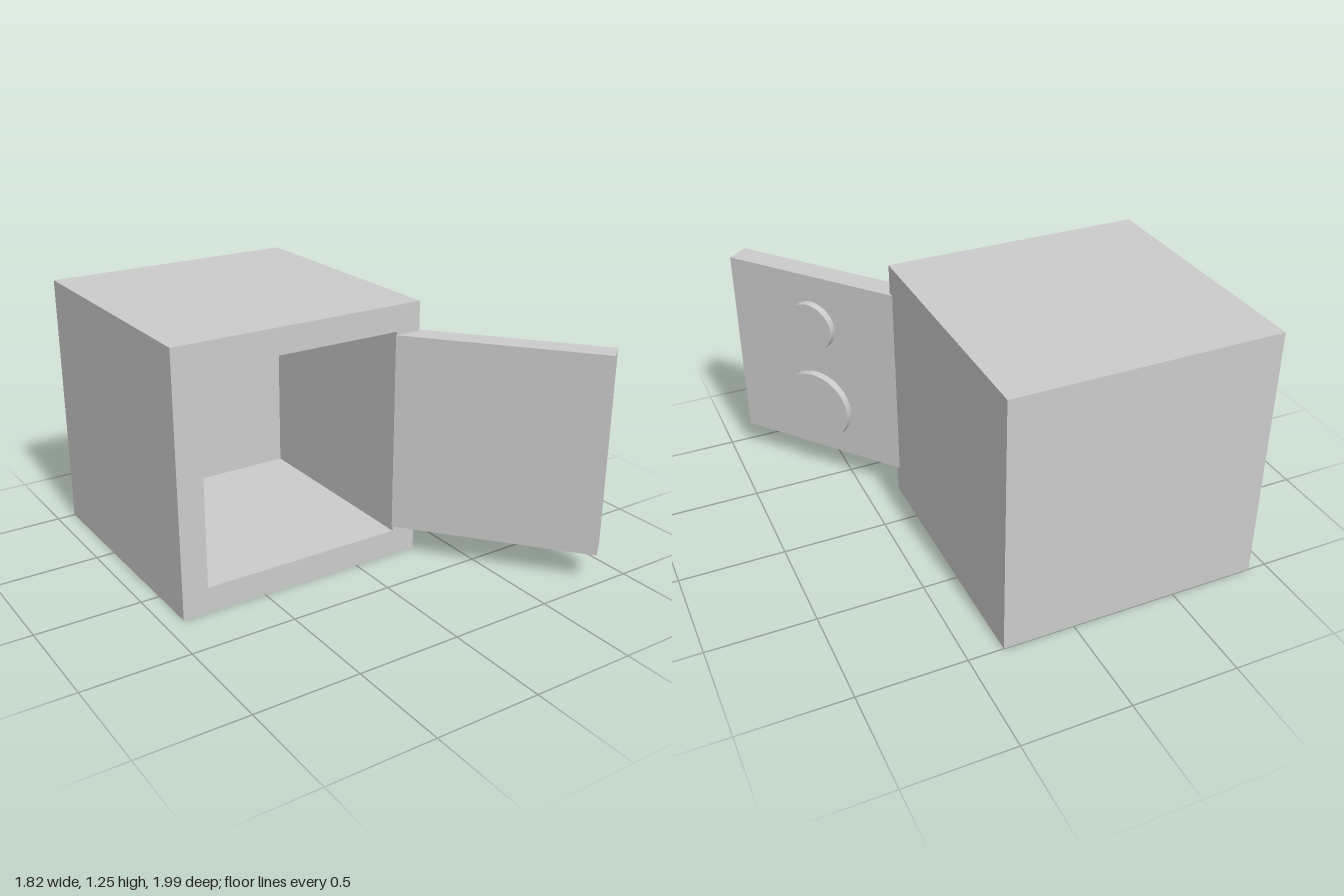
import * as THREE from 'three';
import { mergeGeometries } from 'three/addons/utils/BufferGeometryUtils.js';

const grey = new THREE.MeshStandardMaterial({ color: 0xcccccc });

function addMesh(parent, name, geometry, x = 0, y = 0, z = 0) {
  const mesh = new THREE.Mesh(geometry, grey);
  mesh.name = name;
  mesh.position.set(x, y, z);
  parent.add(mesh);
  return mesh;
}

// Box without its +z face, that face lying on z = 0; optionally turned inside out
function openBox(size, depth, inward) {
  const geo = new THREE.BoxGeometry(size, size, depth);
  geo.translate(0, 0, -depth / 2);
  const index = Array.from(geo.index.array);
  index.splice(24, 6);
  if (inward) {
    index.reverse();
    const normals = geo.attributes.normal.array;
    for (let i = 0; i < normals.length; i++) normals[i] *= -1;
  }
  geo.clearGroups();
  geo.setIndex(index);
  return geo;
}

// Flat square ring joining the outer shell to the cavity
function rim(outer, inner) {
  const square = (target, s) => target
    .moveTo(-s, -s).lineTo(s, -s).lineTo(s, s).lineTo(-s, s).closePath();
  const shape = square(new THREE.Shape(), outer / 2);
  shape.holes.push(square(new THREE.Path(), inner / 2));
  return new THREE.ShapeGeometry(shape);
}

export function createModel() {
  const model = new THREE.Group();
  model.name = 'openSafe';

  // Hollow cabinet with a thick back wall
  const outer = 1.246, inner = 0.997;
  const cabinet = mergeGeometries([
    openBox(outer, outer, false),
    openBox(inner, 1.04, true),
    rim(outer, inner),
  ]);
  addMesh(model, 'cabinet', cabinet, -0.288, outer / 2, 0.246);

  // Door swung open; local +x runs from hinge to free edge, -z is its outer face
  const door = new THREE.Group();
  door.name = 'door';
  door.position.set(0.207, 0.626, 0.243);
  door.rotation.y = -THREE.MathUtils.degToRad(51);
  model.add(door);

  const length = 0.965, height = 0.958, thickness = 0.117;
  addMesh(door, 'doorPanel', new THREE.BoxGeometry(length, height, thickness),
    length / 2, 0, -thickness / 2);

  // Round dials on the outer face
  const dials = [['upperDial', 0.125, 0.219], ['lowerDial', 0.187, -0.229]];
  for (const [name, radius, y] of dials) {
    const disc = new THREE.CylinderGeometry(radius, radius, 0.037, 48);
    disc.rotateX(-Math.PI / 2);
    addMesh(door, name, disc, 0.513, y, -thickness - 0.0185);
  }

  return model;
}
